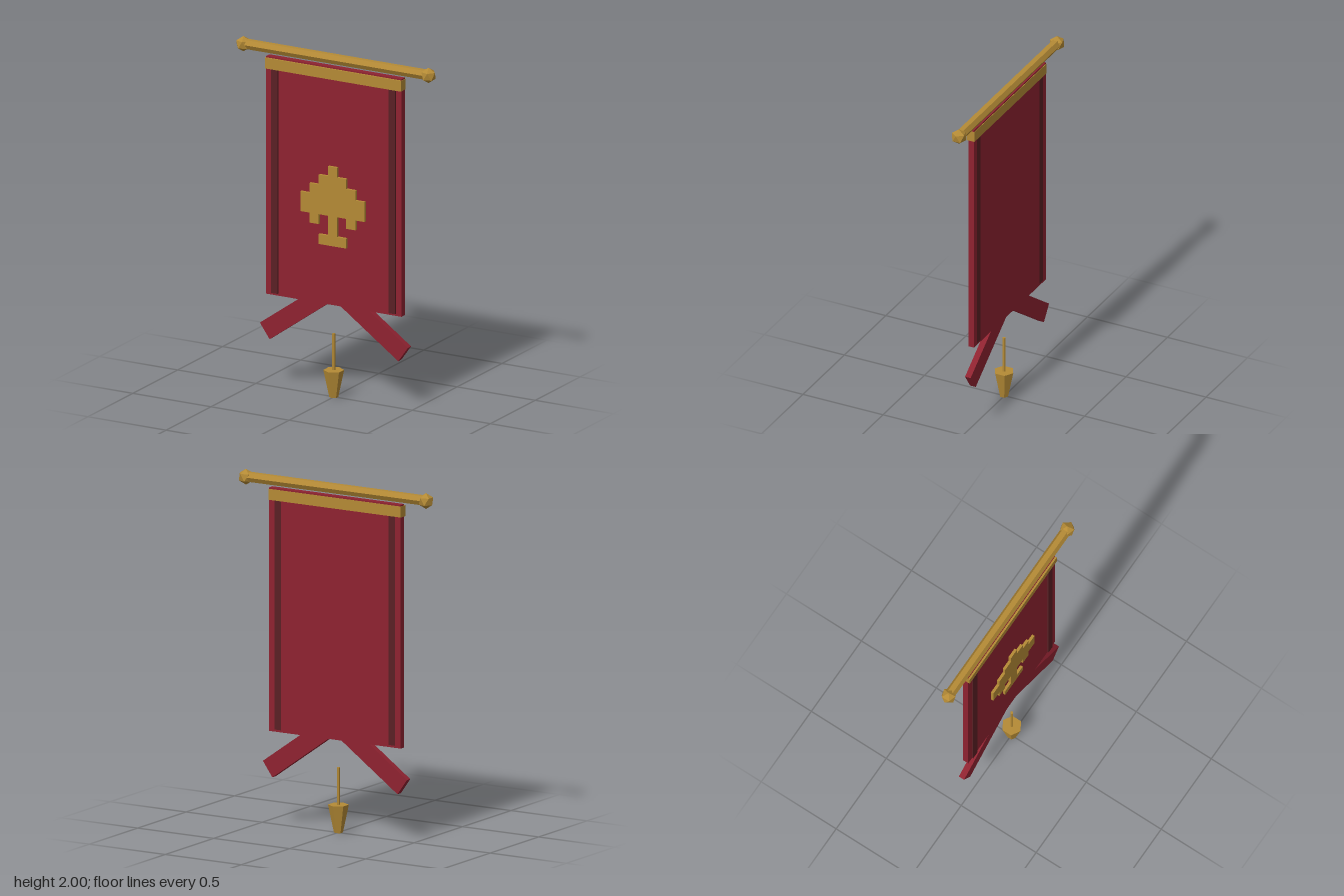
import * as THREE from 'three';

export function createModel() {
  const group = new THREE.Group();
  const material = (name, color) => {
    const m = new THREE.MeshStandardMaterial({ color, flatShading: true });
    m.name = name;
    return m;
  };
  const gold = material('gold', 0xb48a35);
  const crimson = material('crimson cloth', 0x8e2230);
  const maroon = material('dark maroon trim', 0x5a2024);

  const add = (name, geometry, mat, x, y, z) => {
    const mesh = new THREE.Mesh(geometry, mat);
    mesh.name = name;
    mesh.position.set(x, y, z);
    group.add(mesh);
    return mesh;
  };
  const box = (w, h, d) => new THREE.BoxGeometry(w, h, d);

  // Hexagonal pole
  add('pole', new THREE.CylinderGeometry(0.03, 0.03, 1.18, 6).rotateZ(Math.PI / 2), gold, 0, 1.957, -0.022);

  // Hanging cloth and the gold band wrapped round its top
  add('cloth', box(0.866, 1.382, 0.036), crimson, 0, 1.224, -0.016);
  add('topBand', box(0.87, 0.062, 0.05), gold, 0, 1.876, -0.012);

  // Mirrored parts: finials, side trims and cloth tails
  const finial = new THREE.IcosahedronGeometry(0.045, 0).rotateZ(-Math.atan(2 / (1 + Math.sqrt(5))));
  for (const side of [-1, 1]) {
    const name = side > 0 ? 'left' : 'right';
    add(name + 'Finial', finial, gold, side * 0.592, 1.955, -0.022);
    add(name + 'Trim', box(0.042, 1.32, 0.046), maroon, side * 0.376, 1.205, -0.012);
    const tail = add(name + 'Tail', box(0.47, 0.107, 0.035), crimson, side * 0.251, 0.451, -0.016);
    tail.rotation.z = -side * 0.618;
  }

  // Stepped spade emblem, one half of the outline mirrored
  const cw = 0.0587, ch = 0.0576;
  const half = [
    [0.5, 8], [0.5, 7], [1.5, 7], [1.5, 6], [2.5, 6], [2.5, 5], [3.5, 5], [3.5, 3],
    [2.5, 3], [2.5, 2], [1.5, 2], [1.5, 3], [0.5, 3], [0.5, 1], [1.5, 1], [1.5, 0],
  ];
  const outline = [...half, ...half.map(([x, y]) => [-x, y]).reverse()];
  const shape = new THREE.Shape(outline.map(([x, y]) => new THREE.Vector2(x * cw, y * ch)));
  add('spadeEmblem', new THREE.ExtrudeGeometry(shape, { depth: 0.022, bevelEnabled: false }), gold, 0, 0.88, -0.004);

  // Tassel below the cloth
  add('tasselCord', new THREE.CylinderGeometry(0.009, 0.009, 0.22, 6), gold, 0, 0.26, 0.003);
  add('tassel', new THREE.CylinderGeometry(0.058, 0.025, 0.158, 6), gold, 0, 0.079, 0.003);

  return group;
}
